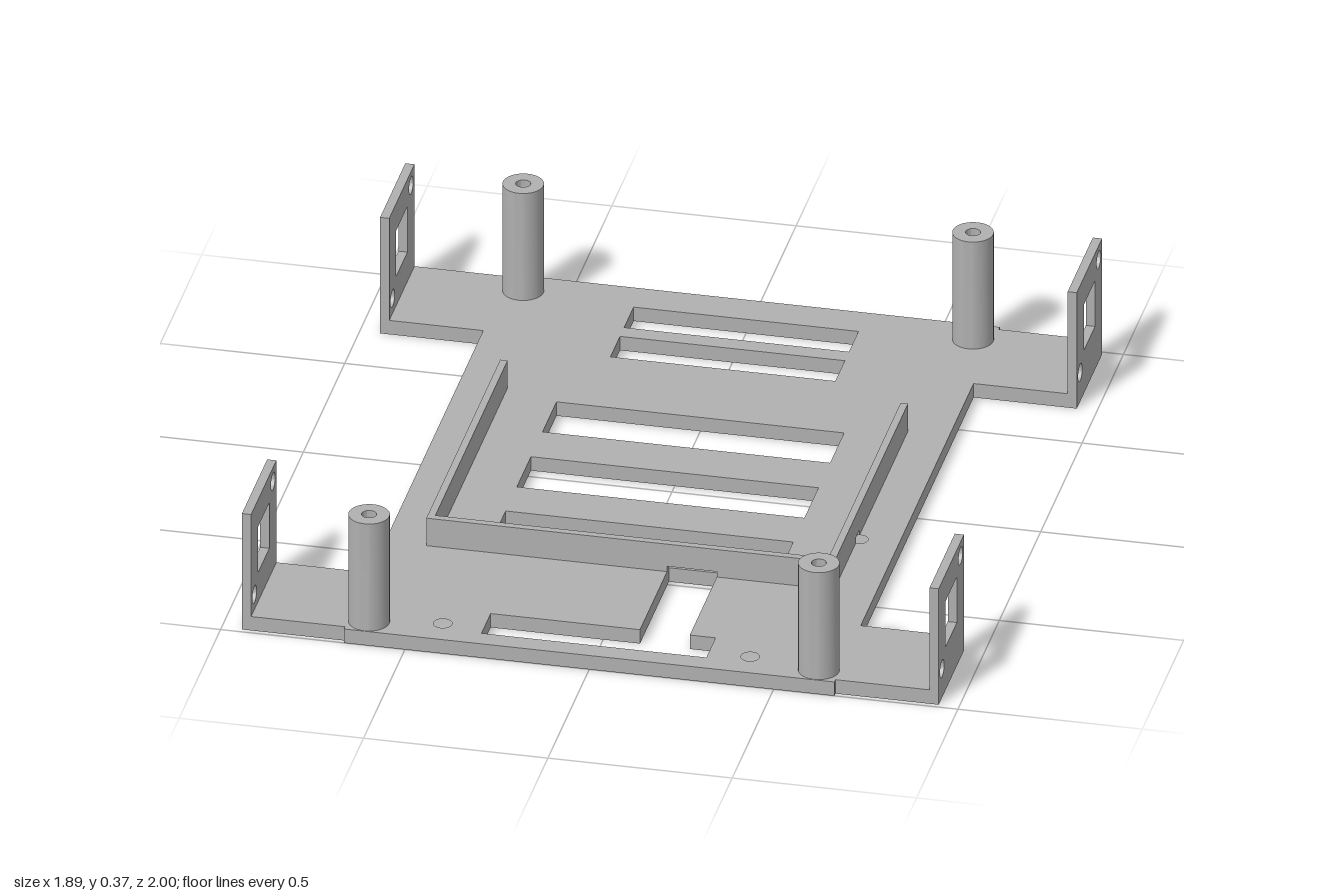
import * as THREE from 'three';
import { toCreasedNormals } from 'three/addons/utils/BufferGeometryUtils.js';

const BASE = 0.042; // thickness of the base plate

const poly = (Type, pts) => new Type(pts.map(([x, y]) => new THREE.Vector2(x, y)));
const rect = (x0, x1, y0, y1) => poly(THREE.Path, [[x0, y0], [x1, y0], [x1, y1], [x0, y1]]);
const disc = (x, y, r) => new THREE.Path().absarc(x, y, r, 0, Math.PI * 2, true);
const extrude = (shape, depth) => toCreasedNormals(
  new THREE.ExtrudeGeometry(shape, { depth, bevelEnabled: false, curveSegments: 16 }), 0.6);

// Slab whose outline is drawn in plan (x, z), filling y0..y1
const slab = (shape, y0, y1) => extrude(shape, y1 - y0).rotateX(Math.PI / 2).translate(0, y1, 0);

export function createModel() {
  const group = new THREE.Group();
  group.name = 'mountingTray';
  const grey = new THREE.MeshStandardMaterial({ color: 0xb0b0b0 });
  grey.name = 'grey plastic';
  const add = (name, geometry) => {
    const mesh = new THREE.Mesh(geometry, grey);
    mesh.name = name;
    group.add(mesh);
    return mesh;
  };

  // Base plate with four corner arms
  const half = [[0.665, 1], [0.665, 0.987], [0.945, 0.987], [0.945, 0.682], [0.665, 0.682],
    [0.665, -0.682], [0.945, -0.682], [0.945, -0.987], [0.665, -0.987], [0.665, -1]];
  const plate = poly(THREE.Shape, [...half, ...half.map(([x, z]) => [-x, z]).reverse()]);

  // Vent slots, cable opening and screw holes
  for (const [w, z0, z1] of [[0.305, -0.895, -0.78], [0.305, -0.73, -0.615],
    [0.39, -0.342, -0.173], [0.39, -0.033, 0.137], [0.39, 0.273, 0.443]]) {
    plate.holes.push(rect(-w, w, z0, z1));
  }
  plate.holes.push(poly(THREE.Path, [[-0.305, 0.832], [0.1, 0.832], [0.1, 0.483], [0.235, 0.483],
    [0.235, 0.832], [0.305, 0.832], [0.305, 0.943], [-0.305, 0.943]]));
  for (const s of [-1, 1]) {
    plate.holes.push(disc(s * 0.417, 0.913, 0.025), disc(s * 0.558, 0.22, 0.023));
  }
  add('basePlate', slab(plate, 0, BASE));

  // U-shaped retaining wall: a notched lower course under a full upper course
  const xo = 0.553, xi = 0.533, zo = 0.505, zi = 0.485, zb = -0.388, step = 0.058;
  add('retainingWall', slab(poly(THREE.Shape, [[-xo, zb], [-xi, zb], [-xi, zi], [xi, zi],
    [xi, zb], [xo, zb], [xo, zo], [-xo, zo]]), step, 0.125));
  for (const [s, end] of [[-1, 0.1], [1, 0.235]]) {
    const notch = [];
    for (let i = 0; i <= 8; i++) {
      const a = (i / 8) * Math.PI;
      notch.push([s * (xo - 0.018 * Math.sin(a)), 0.22 - 0.023 * Math.cos(a)]);
    }
    add('retainingWallFoot', slab(poly(THREE.Shape, [[s * xi, zb], [s * xo, zb], ...notch,
      [s * xo, zo], [end, zo], [end, zi], [s * xi, zi]]), BASE, step));
  }

  // Hollow standoff posts
  const profile = [[0, BASE], [0.02, BASE], [0.02, 0.365], [0.055, 0.365], [0.055, BASE]]
    .map(([r, y]) => new THREE.Vector2(r, y)).reverse();
  const postGeometry = toCreasedNormals(new THREE.LatheGeometry(profile, 40), 0.6);
  for (const x of [-0.61, 0.61]) {
    for (const z of [-0.92, 0.943]) add('standoffPost', postGeometry).position.set(x, 0, z);
  }

  // Upright corner tabs with a window and two screw holes
  const tab = poly(THREE.Shape, [[-0.1525, BASE], [0.1525, BASE], [0.1525, 0.35], [-0.1525, 0.35]]);
  tab.holes.push(rect(-0.068, 0.068, 0.13, 0.268), disc(-0.112, 0.308, 0.025), disc(0.112, 0.087, 0.025));
  const tabGeometry = extrude(tab, 0.025).rotateY(-Math.PI / 2).translate(0.0125, 0, 0);
  for (const x of [-0.9325, 0.9325]) {
    for (const z of [-0.8345, 0.8345]) add('cornerTab', tabGeometry).position.set(x, 0, z);
  }
  return group;
}
